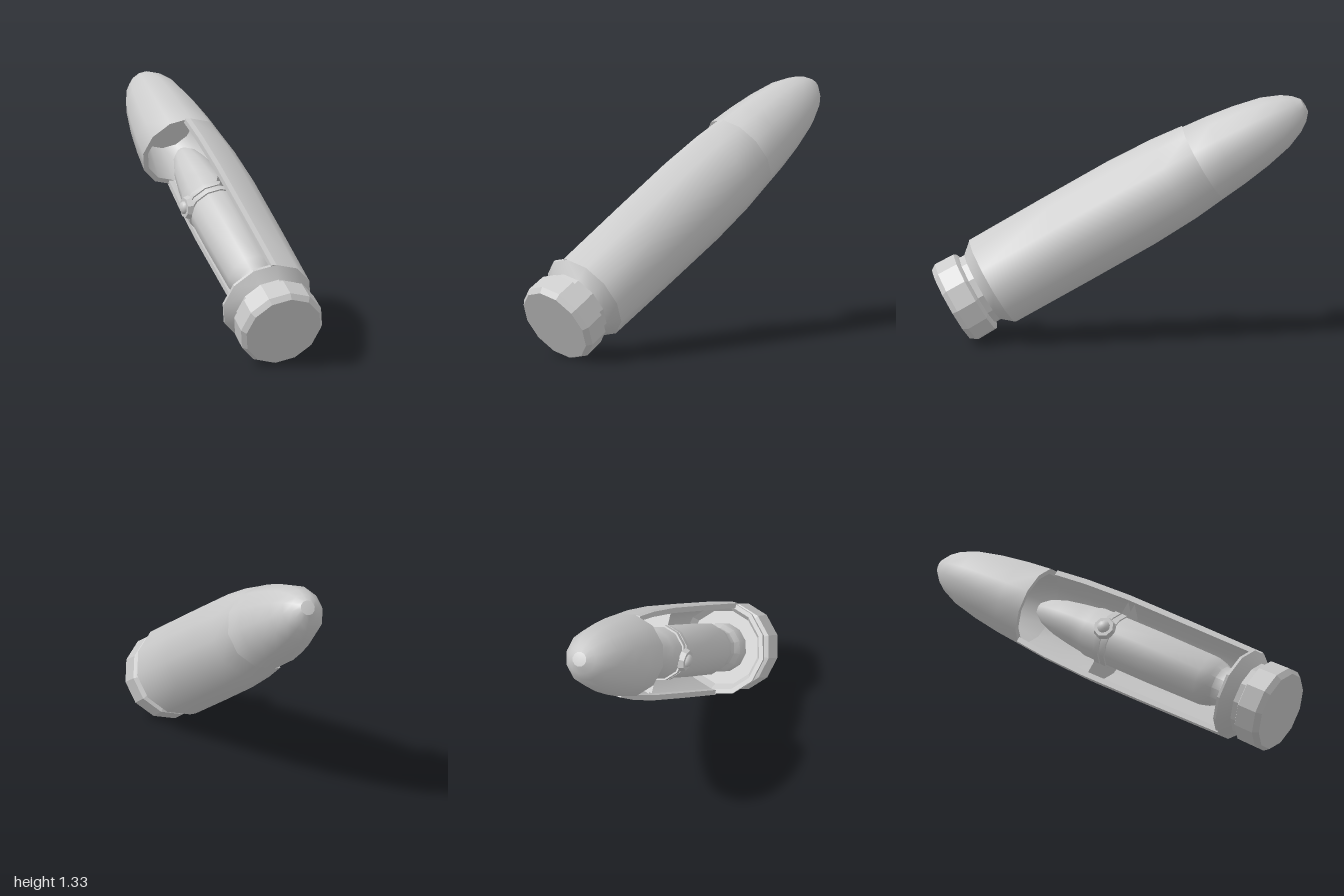
import * as THREE from 'three';
import { toCreasedNormals } from 'three/addons/utils/BufferGeometryUtils.js';

const SIDES = 12;

export function createModel() {
  const model = new THREE.Group();
  model.name = 'cutawayShell';
  const material = new THREE.MeshStandardMaterial({ color: 0xcccccc, side: THREE.DoubleSide });

  // Everything is built upright along y, then leaned back
  const body = new THREE.Group();
  body.name = 'tiltedBody';
  body.rotation.x = -Math.PI / 3;
  body.position.set(0, 0.189, 0.89);
  model.add(body);

  const add = (name, geometry) => {
    const mesh = new THREE.Mesh(geometry, material);
    mesh.name = name;
    body.add(mesh);
    return mesh;
  };
  const points = (list) => list.map(([r, y]) => new THREE.Vector2(r, y));
  // Turned part from [radius, height] pairs; half = only the +x side
  const turned = (name, profile, crease = 0.6, half = false) => add(name, toCreasedNormals(
    new THREE.LatheGeometry(points(profile), half ? SIDES / 2 : SIDES, 0, half ? Math.PI : Math.PI * 2), crease));

  // Faceted end cap with the groove above it
  turned('endCap', [[0, 0], [0.214, 0], [0.235, 0.03], [0.232, 0.142], [0.208, 0.155], [0.2, 0.158], [0.2, 0.2]], 0.2);

  // Flared rim with a floor inside
  turned('rim', [[0.2, 0.19], [0.252, 0.25], [0.252, 0.265], [0.228, 0.265], [0.2, 0.22], [0, 0.22]], 0.4);

  // Half wall beside the opening
  const wall = [
    [0.252, 0.25], [0.255, 0.7], [0.255, 1.1], [0.243, 1.36], [0.224, 1.54],
    [0.196, 1.54], [0.214, 1.36], [0.226, 1.1], [0.226, 0.7], [0.226, 0.25],
  ];
  turned('halfWall', [...wall, wall[0]], 0.6, true);

  // Straight continuation of the wall to the cut plane, front and back
  for (const side of [1, -1]) {
    const edge = new THREE.ExtrudeGeometry(new THREE.Shape(points(wall)), { depth: 0.03, bevelEnabled: false });
    edge.rotateY(side > 0 ? -Math.PI / 2 : Math.PI / 2);
    if (side > 0) edge.translate(0, 0, 0);
    add(side > 0 ? 'upperWallEdge' : 'lowerWallEdge', edge).position.x = side > 0 ? 0 : -0.03;
  }

  // Hollow nose, closed inside by a bulkhead
  turned('nose', [
    [0, 1.75], [0.145, 1.75], [0.196, 1.54], [0.224, 1.54], [0.21, 1.68], [0.188, 1.83],
    [0.155, 1.98], [0.115, 2.075], [0.08, 2.125], [0.04, 2.16], [0, 2.165],
  ]);

  // Inner capsule on its foot
  turned('innerCapsule', [
    [0.13, 0.22], [0.13, 0.3], [0.11, 0.33], [0.11, 0.38], [0.125, 0.41], [0.14, 0.47], [0.143, 0.8],
    [0.14, 1.17], [0.13, 1.2], [0.121, 1.27], [0.1, 1.39], [0.07, 1.48], [0.035, 1.53], [0, 1.545],
  ]);

  // Double band around the capsule
  for (const y of [1.045, 1.085]) {
    turned('band', [[0.138, y - 0.016], [0.15, y - 0.016], [0.15, y + 0.016], [0.138, y + 0.016]], 0.6);
  }

  // Half plate tying the band to the wall
  turned('supportPlate', [[0.14, 1.06], [0.23, 1.06], [0.23, 1.1], [0.14, 1.1], [0.14, 1.06]], 0.6, true);

  // Round button on the band
  const flange = new THREE.CylinderGeometry(0.055, 0.064, 0.03, 8).rotateZ(Math.PI / 2);
  add('buttonFlange', toCreasedNormals(flange, 0.6)).position.set(-0.15, 1.075, 0);
  const button = new THREE.SphereGeometry(0.036, 10, 5, 0, Math.PI * 2, 0, Math.PI / 2).rotateZ(Math.PI / 2);
  button.scale(0.7, 1, 1);
  add('button', button).position.set(-0.162, 1.075, 0);

  return model;
}
